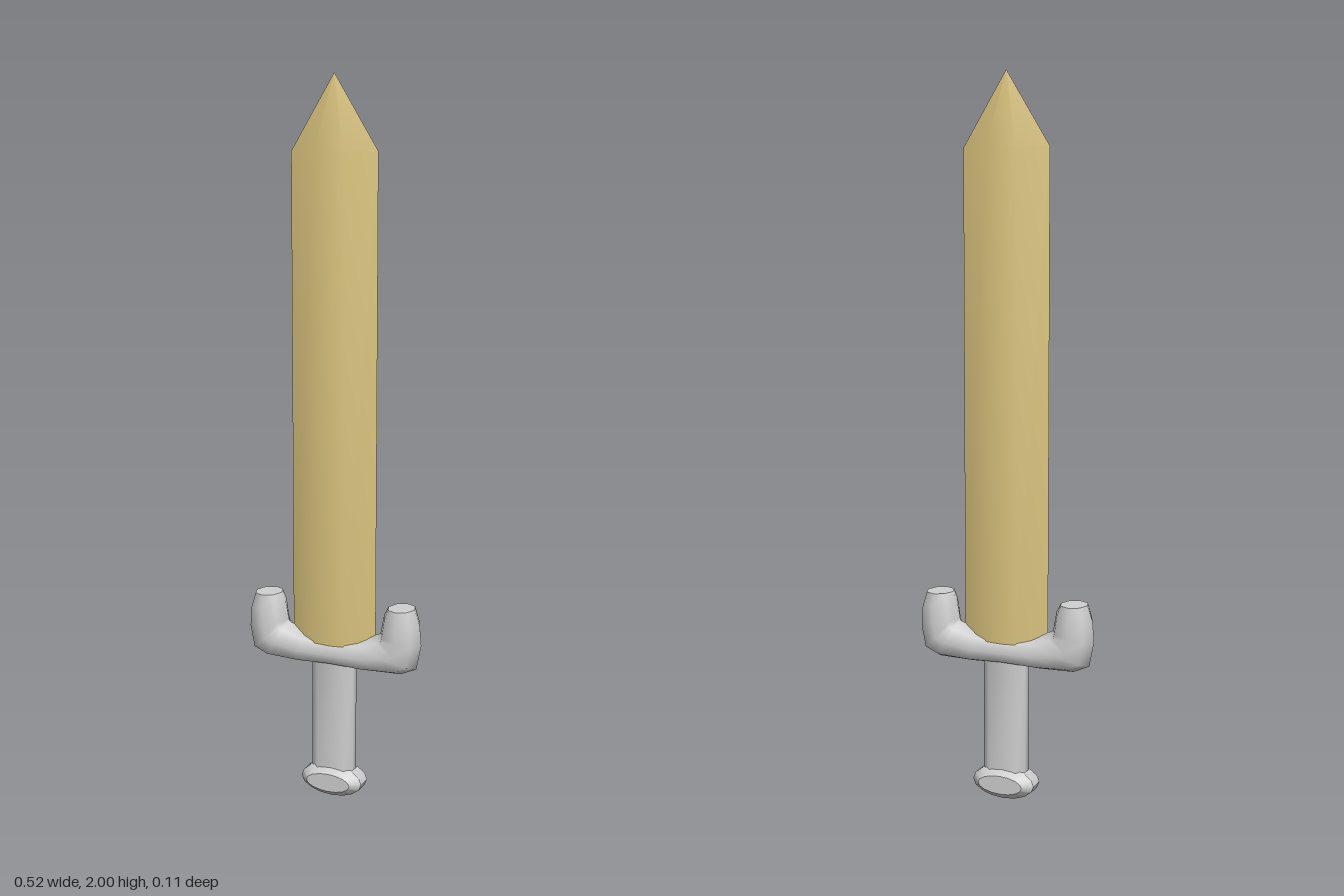
import * as THREE from 'three';
import { toCreasedNormals } from 'three/addons/utils/BufferGeometryUtils.js';

// Skins a list of rings (each counter-clockwise about the direction of travel) and caps both ends.
function loft(rings, crease) {
  const n = rings[0].length, index = [];
  rings.slice(1).forEach((_, r) => {
    for (let j = 0; j < n; j++) {
      const a = r * n + j, b = r * n + (j + 1) % n;
      index.push(a, b, b + n, a, b + n, a + n);
    }
  });
  const last = (rings.length - 1) * n;
  for (let j = 1; j < n - 1; j++) {
    index.push(0, j + 1, j, last, last + j, last + j + 1);
  }
  const g = new THREE.BufferGeometry();
  g.setAttribute('position', new THREE.Float32BufferAttribute(rings.flat(2), 3));
  g.setIndex(index);
  return toCreasedNormals(g, crease);
}

// Horizontal ring from an [x, z] outline.
const level = (outline, y, s = 1) => outline.map(([x, z]) => [x * s, y, z * s]);

export function createModel() {
  const gold = new THREE.MeshStandardMaterial({ color: 0xd8c27c });
  gold.name = 'pale gold';
  const silver = new THREE.MeshStandardMaterial({ color: 0xd0cfd0 });
  silver.name = 'silver grey';

  const group = new THREE.Group();
  group.name = 'sword';
  const add = (name, geometry, material) => {
    const mesh = new THREE.Mesh(geometry, material);
    mesh.name = name;
    group.add(mesh);
  };

  // Blade: flat hexagonal section running to a point
  const blade = [[-0.043, 0.04], [0.043, 0.04], [0.125, 0], [0.043, -0.04], [-0.043, -0.04], [-0.125, 0]];
  add('blade', loft([level(blade, 0.44), level(blade, 1.8), level(blade, 2, 0.002)], 0.7), gold);

  // Guard: eight-sided bar with both ends turned up; [inner x, inner y, outer x, outer y, half depth]
  const half = [
    [0.08, 0.472, 0.1, 0.383, 0.054],
    [0.135, 0.492, 0.2, 0.385, 0.055],
    [0.139, 0.495, 0.246, 0.405, 0.055],
    [0.141, 0.5, 0.26, 0.475, 0.055],
    [0.15, 0.55, 0.255, 0.53, 0.053],
    [0.163, 0.575, 0.24, 0.575, 0.046],
  ];
  const mirrored = half.map(([a, b, c, d, e]) => [-a, b, -c, d, e]).reverse();
  const guardRings = [...mirrored, [0, 0.468, 0, 0.387, 0.053], ...half].map(([ix, iy, ox, oy, depth]) =>
    Array.from({ length: 8 }, (_, k) => {
      const t = k * Math.PI / 4, c = Math.cos(t) / 2;
      return [(ix + ox) / 2 + c * (ix - ox), (iy + oy) / 2 + c * (iy - oy), depth * Math.sin(t)];
    }));
  add('guard', loft(guardRings, 1), silver);

  // Grip: flattened eight-sided bar
  const grip = [[-0.04, 0.03], [0.04, 0.03], [0.062, 0.013], [0.062, -0.013],
    [0.04, -0.03], [-0.04, -0.03], [-0.062, -0.013], [-0.062, 0.013]];
  add('grip', loft([level(grip, 0.06), level(grip, 0.42)], 1), silver);

  // Pommel: oval disc with bevelled front and back; [z, x radius, y radius]
  const pommelRings = [[-0.047, 0.066, 0.026], [-0.022, 0.092, 0.046], [0.022, 0.092, 0.046], [0.047, 0.066, 0.026]]
    .map(([z, rx, ry]) => Array.from({ length: 16 }, (_, k) => {
      const t = k * Math.PI / 8;
      return [rx * Math.cos(t), 0.046 + ry * Math.sin(t), z];
    }));
  add('pommel', loft(pommelRings, 0.7), silver);

  return group;
}
